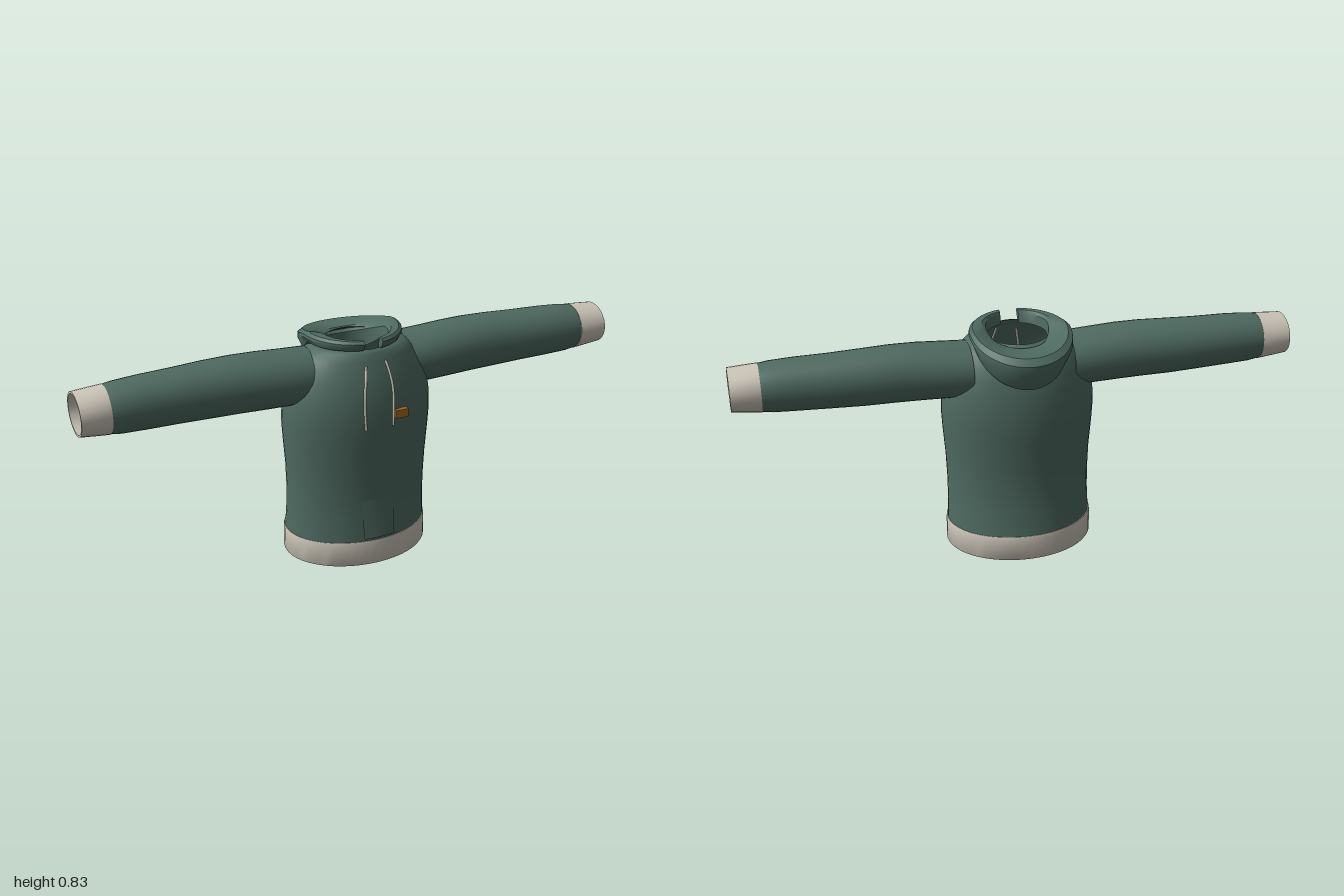
import * as THREE from 'three';
import { toCreasedNormals } from 'three/addons/utils/BufferGeometryUtils.js';

const paint = (name, color) => {
  const m = new THREE.MeshStandardMaterial({ color, side: THREE.DoubleSide });
  m.name = name;
  return m;
};

// Skin between rings of points; each ring is an array of Vector3.
function loft(rings, closed = true) {
  const n = rings[0].length, pos = [], idx = [];
  rings.forEach(r => r.forEach(p => pos.push(p.x, p.y, p.z)));
  for (let i = 0; i < rings.length - 1; i++) {
    for (let j = 0; j < (closed ? n : n - 1); j++) {
      const k = (j + 1) % n, a = i * n, b = a + n;
      idx.push(a + j, a + k, b + j, a + k, b + k, b + j);
    }
  }
  const g = new THREE.BufferGeometry();
  g.setAttribute('position', new THREE.Float32BufferAttribute(pos, 3));
  g.setIndex(idx);
  g.computeVertexNormals();
  return g;
}

// Horizontal oval ring: height, half width, front z, back z
function torsoRing([y, hx, zf, zb], n = 48) {
  return Array.from({ length: n }, (_, i) => {
    const a = (i / n) * Math.PI * 2;
    return new THREE.Vector3(hx * Math.sin(a), y, (zf + zb) / 2 + ((zf - zb) / 2) * Math.cos(a));
  });
}

// Upright oval ring across an arm: x, centre y, centre z, radius y, radius z
function armRing([x, cy, cz, ry, rz], side, n = 28) {
  return Array.from({ length: n }, (_, i) => {
    const a = (i / n) * Math.PI * 2 * side;
    return new THREE.Vector3(x * side, cy + ry * Math.cos(a), cz + rz * Math.sin(a));
  });
}

const BODY = [
  [0.085, 0.264, 0.213, -0.193], [0.105, 0.263, 0.213, -0.189], [0.18, 0.26, 0.208, -0.177],
  [0.25, 0.26, 0.206, -0.169], [0.35, 0.264, 0.208, -0.166], [0.45, 0.272, 0.214, -0.171],
  [0.52, 0.276, 0.217, -0.172], [0.58, 0.274, 0.216, -0.168], [0.63, 0.266, 0.211, -0.161],
  [0.68, 0.25, 0.2, -0.15], [0.72, 0.23, 0.187, -0.136], [0.76, 0.202, 0.171, -0.117],
  [0.785, 0.175, 0.16, -0.1], [0.789, 0.14, 0.152, -0.092], [0.795, 0.112, 0.146, -0.088],
];

// Front surface depth of the torso at (x, y)
function chestZ(x, y) {
  const i = Math.max(1, BODY.findIndex(r => r[0] >= y));
  const a = BODY[i - 1], b = BODY[i], t = (y - a[0]) / (b[0] - a[0]);
  const [hx, zf, zb] = [1, 2, 3].map(k => a[k] + (b[k] - a[k]) * t);
  return (zf + zb) / 2 + ((zf - zb) / 2) * Math.sqrt(1 - (x / hx) ** 2);
}

// Turned-down collar: inner wall, folded top, rim and tucked underside
function collarGeometry() {
  // half width, front z, back z, front y, back y
  const profile = [
    [0.106, 0.135, -0.088, 0.785, 0.7], [0.11, 0.14, -0.09, 0.82, 0.775],
    [0.125, 0.144, -0.11, 0.83, 0.79], [0.165, 0.16, -0.2, 0.831, 0.79],
    [0.178, 0.168, -0.223, 0.822, 0.768], [0.18, 0.166, -0.222, 0.812, 0.735],
    [0.168, 0.154, -0.18, 0.795, 0.665], [0.106, 0.135, -0.088, 0.785, 0.7],
  ];
  const steps = 48, rings = [];
  for (let i = 0; i <= steps; i++) {
    const f = i / steps;
    const ring = profile.map(([hx, zf, zb, yf, yb]) => {
      const gap = Math.asin(0.033 / hx);
      const a = gap + f * (Math.PI * 2 - gap * 2);
      const drop = Math.max(0, -Math.cos(a));
      return new THREE.Vector3(hx * Math.sin(a), yf + (yb - yf) * drop,
        (zf + zb) / 2 + ((zf - zb) / 2) * Math.cos(a));
    });
    rings.push(ring);
  }
  // Collapse both ends to close them
  const cap = r => {
    const c = r.slice(0, -1).reduce((s, p) => s.add(p), new THREE.Vector3()).divideScalar(r.length - 1);
    return r.map(() => c.clone());
  };
  rings.unshift(cap(rings[0]));
  rings.push(cap(rings[rings.length - 1]));
  return toCreasedNormals(loft(rings, false), 0.6);
}

export function createModel() {
  const green = paint('green cloth', 0x4f6b61);
  const cream = paint('cream ribbing', 0xcdc6b9);
  const amber = paint('amber tag', 0xa56c1e);
  const model = new THREE.Group();
  model.name = 'jacket';
  const add = (name, geo, mat) => {
    const m = new THREE.Mesh(geo, mat);
    m.name = name;
    model.add(m);
    return m;
  };

  add('body', loft(BODY.map(r => torsoRing(r))), green);
  add('collar', collarGeometry(), green);

  // Ribbed waistband with a thin wall
  add('waistband', toCreasedNormals(loft([
    [0.09, 0.256, 0.207, -0.187], [0.093, 0.266, 0.217, -0.196], [0.085, 0.268, 0.219, -0.199],
    [0.004, 0.269, 0.22, -0.201], [0, 0.267, 0.218, -0.199], [0, 0.259, 0.21, -0.191],
    [0.09, 0.256, 0.207, -0.187],
  ].map(r => torsoRing(r))), 0.7), cream);

  // Small front flap standing off the body above the waistband
  const flap = [[0.105, 0.222], [0.18, 0.2125], [0.25, 0.2065]].map(([y, z]) =>
    [-0.06, -0.03, 0, 0.03, 0.06].map(x => new THREE.Vector3(x, y, z - x * x * 1.4)));
  add('frontFlap', loft(flap, false), green);

  // Sleeves and cuffs
  for (const side of [1, -1]) {
    const label = side > 0 ? 'left' : 'right';
    add(label + 'Sleeve', loft([
      [0.18, 0.686, 0.008, 0.097, 0.108], [0.27, 0.689, 0.01, 0.099, 0.107],
      [0.36, 0.693, 0.01, 0.101, 0.104], [0.45, 0.695, 0.008, 0.101, 0.101],
      [0.55, 0.694, 0.006, 0.099, 0.098], [0.66, 0.693, 0.008, 0.095, 0.094],
      [0.78, 0.693, 0.012, 0.092, 0.091], [0.86, 0.692, 0.014, 0.088, 0.089],
      [0.905, 0.692, 0.015, 0.081, 0.085],
    ].map(r => armRing(r, side))), green);
    add(label + 'Cuff', toCreasedNormals(loft([
      [0.898, 0.692, 0.015, 0.078, 0.08], [0.897, 0.692, 0.015, 0.084, 0.087],
      [0.95, 0.693, 0.016, 0.079, 0.087], [1, 0.694, 0.017, 0.074, 0.086],
      [1, 0.694, 0.017, 0.067, 0.079], [0.898, 0.692, 0.015, 0.078, 0.08],
    ].map(r => armRing(r, side))), 0.7), cream);
  }

  // Drawstrings lying on the chest
  const strings = {
    leftDrawstring: [[0.04, 0.757], [0.05, 0.71], [0.055, 0.66], [0.053, 0.6], [0.051, 0.53]],
    rightDrawstring: [[-0.036, 0.747], [-0.045, 0.7], [-0.053, 0.65], [-0.056, 0.59], [-0.053, 0.53]],
  };
  for (const [name, pts] of Object.entries(strings)) {
    const path = new THREE.CatmullRomCurve3(
      pts.map(([x, y]) => new THREE.Vector3(x, y, chestZ(x, y) + 0.002)));
    add(name, new THREE.TubeGeometry(path, 24, 0.0045, 8), cream);
  }

  // Little tag on the chest
  const tag = add('chestTag', new THREE.BoxGeometry(0.046, 0.03, 0.018), amber);
  tag.position.set(0.082, 0.57, 0.214);
  return model;
}
